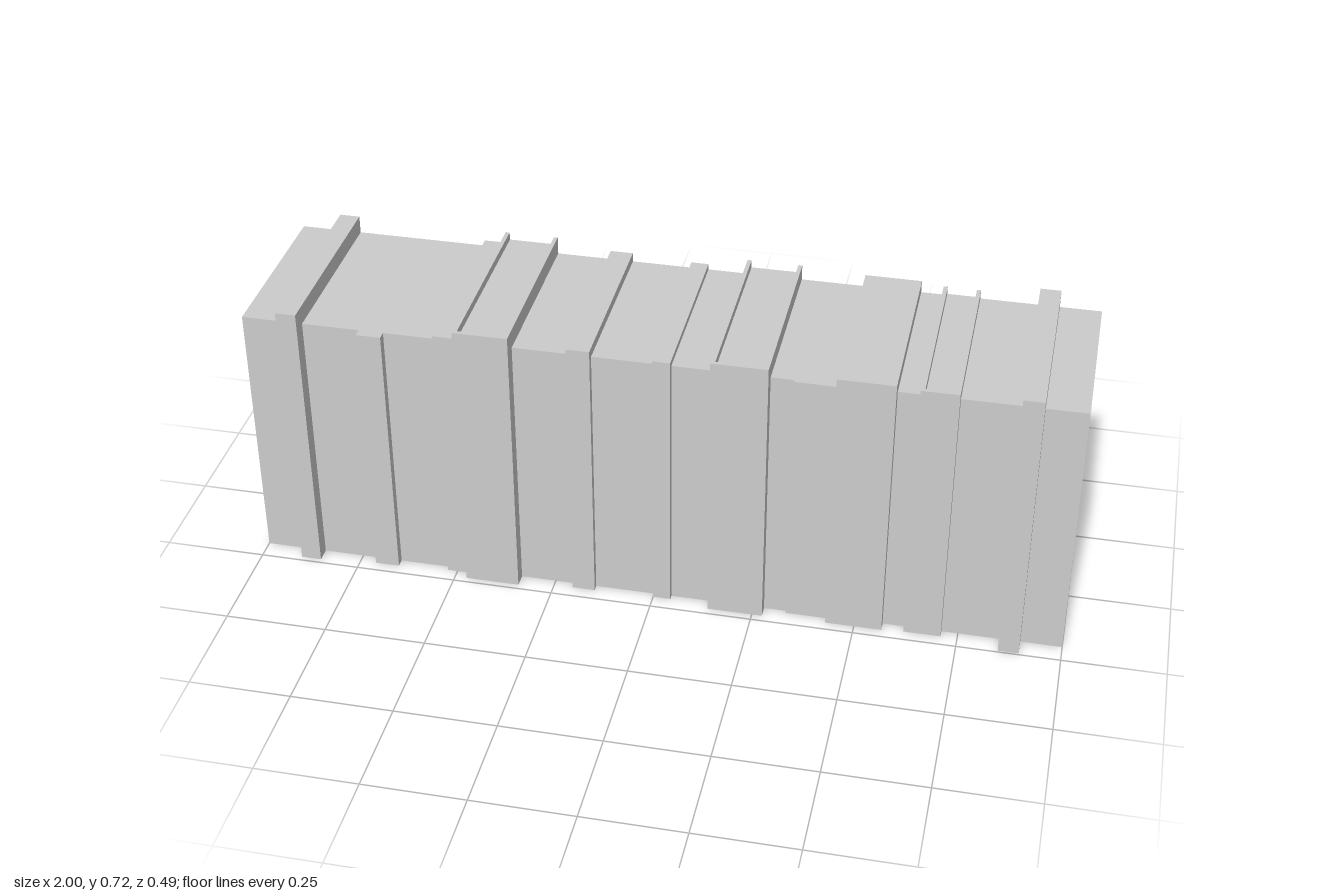
import * as THREE from 'three';
import { mergeGeometries } from 'three/addons/utils/BufferGeometryUtils.js';

const BACK = -0.245, BASE_Y = 0.675, BASE_Z = 0.2;
const LIP = 0.01, RECESS = 0.02;

// Raised ribs: [x start, x end, top height, front depth, recessed top]
const RIBS = [
  [-0.9, -0.85, 0.72, 0.237], [-0.71, -0.65, BASE_Y, 0.222],
  [-0.525, -0.47, 0.69, 0.213], [-0.47, -0.337, 0.72, 0.235, true],
  [-0.203, -0.147, 0.698, 0.217], [0, 0.043, 0.69, 0.213],
  [0.14, 0.275, 0.714, 0.231, true], [0.33, 0.43, BASE_Y, 0.208],
  [0.43, 0.567, 0.706, 0.225], [0.62, 0.71, 0.698, 0.22, true],
  [0.85, 0.9, 0.72, 0.245],
];

// Flat rectangles facing +x or -x, +y, and +z or -z
function faceX(x, y0, y1, z0, z1, dir) {
  return new THREE.PlaneGeometry(z1 - z0, y1 - y0)
    .rotateY(dir * Math.PI / 2).translate(x, (y0 + y1) / 2, (z0 + z1) / 2);
}
function faceY(y, x0, x1, z0, z1) {
  return new THREE.PlaneGeometry(x1 - x0, z1 - z0)
    .rotateX(-Math.PI / 2).translate((x0 + x1) / 2, y, (z0 + z1) / 2);
}
function faceZ(z, x0, x1, y0, y1, dir = 1) {
  return new THREE.PlaneGeometry(x1 - x0, y1 - y0)
    .rotateY(dir > 0 ? 0 : Math.PI).translate((x0 + x1) / 2, (y0 + y1) / 2, z);
}

// Front and top of one section; a recessed top keeps a lip on three sides
function sectionFaces({ x0, x1, y, z, recessed }) {
  const faces = [faceZ(z, x0, x1, 0, y)];
  if (!recessed) return [...faces, faceY(y, x0, x1, BACK, z)];
  const a = x0 + LIP, b = x1 - LIP, f = z - LIP, low = y - RECESS;
  return [...faces,
    faceY(y, x0, a, BACK, z), faceY(y, b, x1, BACK, z), faceY(y, a, b, f, z),
    faceY(low, a, b, BACK, f),
    faceX(a, low, y, BACK, f, 1), faceX(b, low, y, BACK, f, -1),
    faceZ(f, a, b, low, y, -1)];
}

// L-shaped wall joining two neighbouring sections
function stepFaces(a, b) {
  const dir = a.y > b.y || a.z > b.z ? 1 : -1;
  const [big, small] = dir > 0 ? [a, b] : [b, a];
  const faces = [faceX(a.x1, 0, big.y, small.z, big.z, dir)];
  if (big.y > small.y) faces.push(faceX(a.x1, small.y, big.y, BACK, small.z, dir));
  return faces;
}

export function createModel() {
  const group = new THREE.Group();
  group.name = 'ribbedCover';
  const material = new THREE.MeshStandardMaterial({ color: 0xcccccc, side: THREE.DoubleSide, flatShading: true });
  const add = (name, faces) => {
    const mesh = new THREE.Mesh(mergeGeometries(faces), material);
    mesh.name = name;
    group.add(mesh);
  };

  // Sections from end to end, with plain panels between the ribs
  const sections = [];
  let x = -1;
  const plainTo = (end) => {
    if (end > x) sections.push({ name: 'plainPanel', x0: x, x1: end, y: BASE_Y, z: BASE_Z });
  };
  for (const [x0, x1, y, z, recessed] of RIBS) {
    plainTo(x0);
    sections.push({ name: 'rib', x0, x1, y, z, recessed });
    x = x1;
  }
  plainTo(1);

  sections.forEach((s, i) => {
    add(s.name, sectionFaces(s));
    if (i) add('stepWall', stepFaces(sections[i - 1], s));
  });

  // End walls; the back and underside stay open
  add('rightEndWall', [faceX(-1, 0, BASE_Y, BACK, BASE_Z, -1)]);
  add('leftEndWall', [faceX(1, 0, BASE_Y, BACK, BASE_Z, 1)]);
  return group;
}
